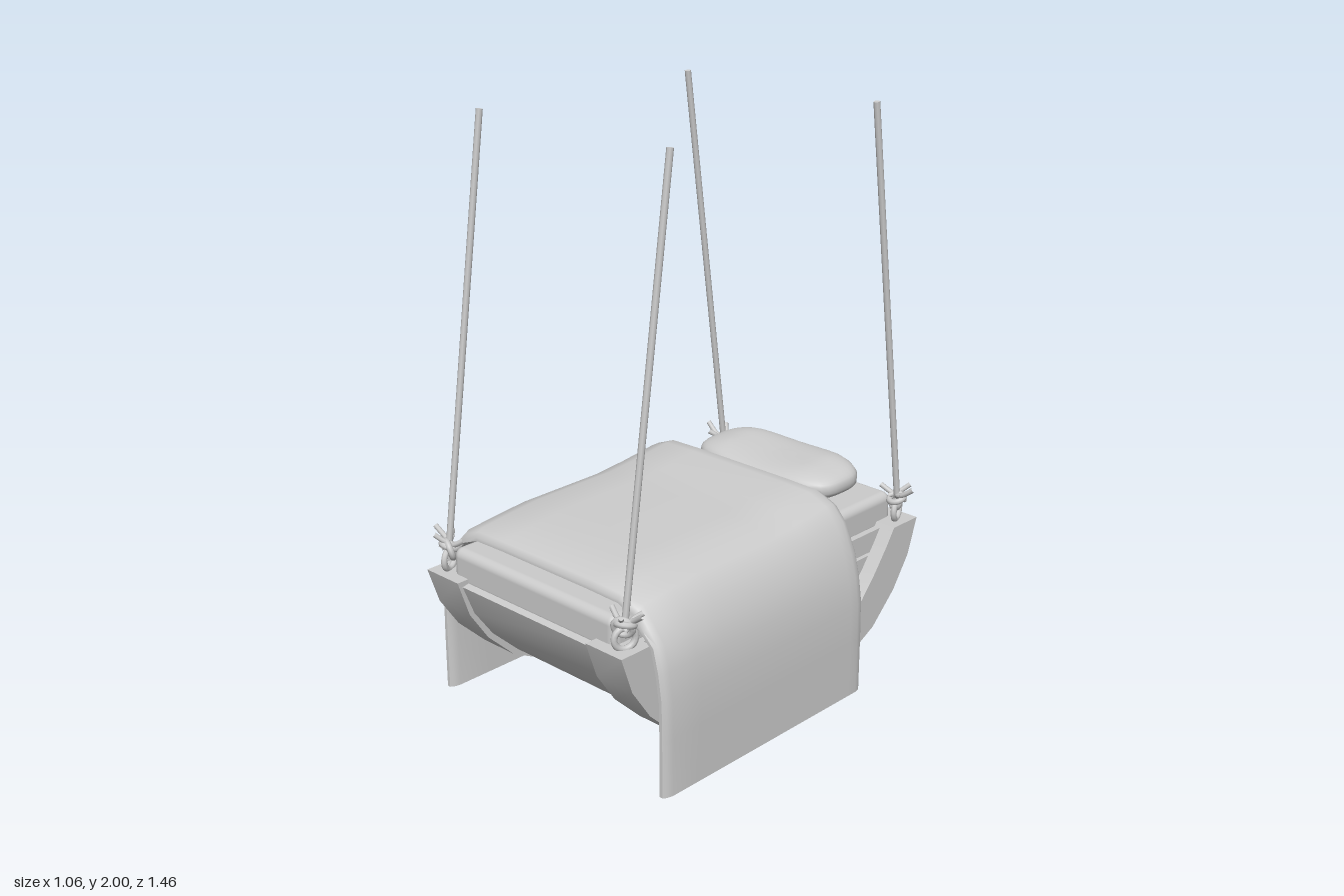
import * as THREE from 'three';
import { toCreasedNormals } from 'three/addons/utils/BufferGeometryUtils.js';
import { RoundedBoxGeometry } from 'three/addons/geometries/RoundedBoxGeometry.js';

const mat = new THREE.MeshStandardMaterial({ color: 0xcccccc });

function add(parent, name, geometry) {
  const mesh = new THREE.Mesh(geometry, mat);
  mesh.name = name;
  parent.add(mesh);
  return mesh;
}

// Half profiles as [z, y], from rim tip down to the keel
const OUTER = [[0.73, 0.5], [0.685, 0.37], [0.61, 0.26], [0.5, 0.155], [0.35, 0.08], [0.18, 0.04], [0, 0.03]];
const INNER = [[0.6, 0.5], [0.56, 0.44], [0.5, 0.36], [0.43, 0.28], [0.35, 0.215], [0.2, 0.15], [0, 0.13]];
const BARREL = [[0.71, 0.48], [0.665, 0.37], [0.59, 0.268], [0.485, 0.17], [0.34, 0.098], [0.175, 0.06], [0, 0.05]];

const full = half => [...half, ...half.slice(0, -1).reverse().map(([z, y]) => [-z, y])];

// Extrude a [z, y] outline across the width from x0 to x1
function acrossX(points, x0, x1) {
  const shape = new THREE.Shape(points.map(p => new THREE.Vector2(...p)));
  const geo = new THREE.ExtrudeGeometry(shape, { depth: x1 - x0, bevelEnabled: false });
  geo.rotateY(-Math.PI / 2).translate(x1, 0, 0);
  return toCreasedNormals(geo, 0.6);
}

const band = (outer, inner) => [...full(outer), ...full(inner).reverse()];

// Half length of the opening at height y
function innerHalf(y) {
  const i = INNER.findIndex(p => p[1] <= y);
  const [za, ya] = INNER[i - 1], [zb, yb] = INNER[i];
  return zb + (za - zb) * (y - yb) / (ya - yb);
}

// Draped blanket: thick cross-sections lofted from foot to head
function blanketGeometry() {
  const stations = [ // z, top height, half thickness
    [0.62, 0.615, 0.006], [0.608, 0.622, 0.015], [0.585, 0.627, 0.02], [0.46, 0.64, 0.02], [0.34, 0.65, 0.02],
    [0, 0.65, 0.02], [-0.13, 0.661, 0.02], [-0.28, 0.679, 0.02], [-0.315, 0.679, 0.02],
    [-0.338, 0.67, 0.015], [-0.35, 0.66, 0.006]];
  const pos = [], index = [];
  let n = 0;
  stations.forEach(([z, t, h]) => {
    const half = [[0.51, 0], [0.51, 0.2], [0.508, 0.33], [0.495, 0.42], [0.475, 0.5],
      [0.435, t - 0.075], [0.395, t - 0.03], [0.33, t - 0.003], [0.2, t], [0, t]];
    const path = full(half);
    n = path.length;
    const side = s => path.map(([x, y], i) => {
      const a = path[Math.max(i - 1, 0)], b = path[Math.min(i + 1, n - 1)];
      const dx = b[0] - a[0], dy = b[1] - a[1], l = Math.hypot(dx, dy);
      return [x + s * h * dy / l, y - s * h * dx / l, z];
    });
    pos.push(...side(1).flat(), ...side(-1).reverse().flat());
  });
  const m = 2 * n, last = (stations.length - 1) * m;
  for (let s = 0; s < stations.length - 1; s++) {
    for (let i = 0; i < m; i++) {
      const a = s * m + i, b = s * m + (i + 1) % m;
      index.push(a, a + m, b, b, a + m, b + m);
    }
  }
  for (let i = 0; i < n - 1; i++) {
    const p = m - 1 - i, q = p - 1;
    index.push(i, i + 1, q, i, q, p);
    index.push(last + i, last + q, last + i + 1, last + i, last + p, last + q);
  }
  const geo = new THREE.BufferGeometry();
  geo.setAttribute('position', new THREE.Float32BufferAttribute(pos, 3));
  geo.setIndex(index);
  return toCreasedNormals(geo, 0.9);
}

// Plump pillow: a squared-off ball with a slight dip in the middle
function pillowGeometry() {
  const geo = new THREE.SphereGeometry(1, 40, 28);
  const p = geo.attributes.position;
  for (let i = 0; i < p.count; i++) {
    const x = p.getX(i), y = p.getY(i), z = p.getZ(i);
    const angle = Math.atan2(z, x), c = Math.cos(angle), s = Math.sin(angle);
    const squared = Math.pow(Math.abs(c) ** 3.2 + Math.abs(s) ** 3.2, -1 / 3.2);
    const rad = Math.pow(Math.hypot(x, z), 0.75) * squared;
    const px = c * rad, pz = s * rad;
    const height = Math.sign(y) * Math.pow(Math.abs(y), 0.75) * 0.066;
    const dip = 0.014 * Math.max(0, 1 - (px / 0.6) ** 2) + 0.014 * pz;
    p.setXYZ(i, px * 0.31, height - Math.max(y, 0) * dip, pz * 0.152);
  }
  geo.computeVertexNormals();
  return geo;
}

function tube(points, radius) {
  const curve = new THREE.CatmullRomCurve3(points.map(p => new THREE.Vector3(...p)));
  return new THREE.TubeGeometry(curve, 16, radius, 8);
}

// One rope with its knot, placed at the +x, +z corner
function ropeGeometries() {
  const top = new THREE.Vector3(0.41, 1.998, 0.47), low = new THREE.Vector3(0.41, 0.58, 0.67);
  const rope = new THREE.CylinderGeometry(0.011, 0.011, top.distanceTo(low), 8);
  rope.applyQuaternion(new THREE.Quaternion().setFromUnitVectors(
    new THREE.Vector3(0, 1, 0), top.clone().sub(low).normalize()));
  rope.translate(0.41, 1.289, 0.57);
  const ring = (r, rx, ry, x, y, z) =>
    new THREE.TorusGeometry(r, 0.011, 8, 18).rotateX(rx).rotateY(ry).translate(x, y, z);
  return [
    ['rope', rope],
    ['ropeEye', ring(0.036, 0, 1.2, 0.41, 0.535, 0.67)],
    ['knotWrap', ring(0.027, 1.2, 0.4, 0.41, 0.58, 0.668)],
    ['knotLoop', ring(0.03, 0.3, 0.5, 0.405, 0.57, 0.672)],
    ['knotCrossEnd', tube([[0.345, 0.615, 0.66], [0.39, 0.59, 0.672], [0.43, 0.595, 0.66], [0.482, 0.63, 0.665]], 0.009)],
    ['knotTail', tube([[0.385, 0.585, 0.655], [0.41, 0.6, 0.685], [0.435, 0.625, 0.71]], 0.009)],
    ['knotBackTail', tube([[0.43, 0.57, 0.69], [0.425, 0.595, 0.65], [0.445, 0.615, 0.625]], 0.009)],
  ];
}

export function createModel() {
  const model = new THREE.Group();
  model.name = 'hangingCradleBed';

  // Curved shell with a thicker rocker rim on each side
  add(model, 'barrelShell', acrossX(band(BARREL, INNER), -0.31, 0.31));
  for (const s of [-1, 1]) {
    add(model, s > 0 ? 'leftRim' : 'rightRim',
      acrossX(band(OUTER, INNER), s > 0 ? 0.3 : -0.455, s > 0 ? 0.455 : -0.3));

    // Horizontal side planks fitted to the curve
    const planks = new THREE.Group();
    planks.name = s > 0 ? 'leftPlanks' : 'rightPlanks';
    [[0.14, 0.18], [0.19, 0.255], [0.266, 0.329], [0.34, 0.4], [0.411, 0.486]].forEach(([y0, y1]) => {
      const a = innerHalf(y0) + 0.01, b = innerHalf(y1) + 0.01;
      const outline = [[-a, y0], [a, y0], [b, y1], [-b, y1]];
      add(planks, 'plank', acrossX(outline, s > 0 ? 0.365 : -0.4, s > 0 ? 0.4 : -0.365));
    });
    model.add(planks);
  }

  // Bedding
  add(model, 'mattress', new RoundedBoxGeometry(0.755, 0.13, 1.37, 4, 0.03)).position.y = 0.525;
  add(model, 'blanket', blanketGeometry());
  add(model, 'pillow', pillowGeometry()).position.set(0, 0.645, -0.505);

  // Four ropes, mirrored to each corner
  for (const sx of [-1, 1]) {
    for (const sz of [-1, 1]) {
      const corner = new THREE.Group();
      corner.name = (sz > 0 ? 'front' : 'back') + (sx > 0 ? 'Left' : 'Right') + 'Rope';
      ropeGeometries().forEach(([name, geo]) => add(corner, name, geo));
      corner.scale.set(sx, 1, sz);
      model.add(corner);
    }
  }
  return model;
}
